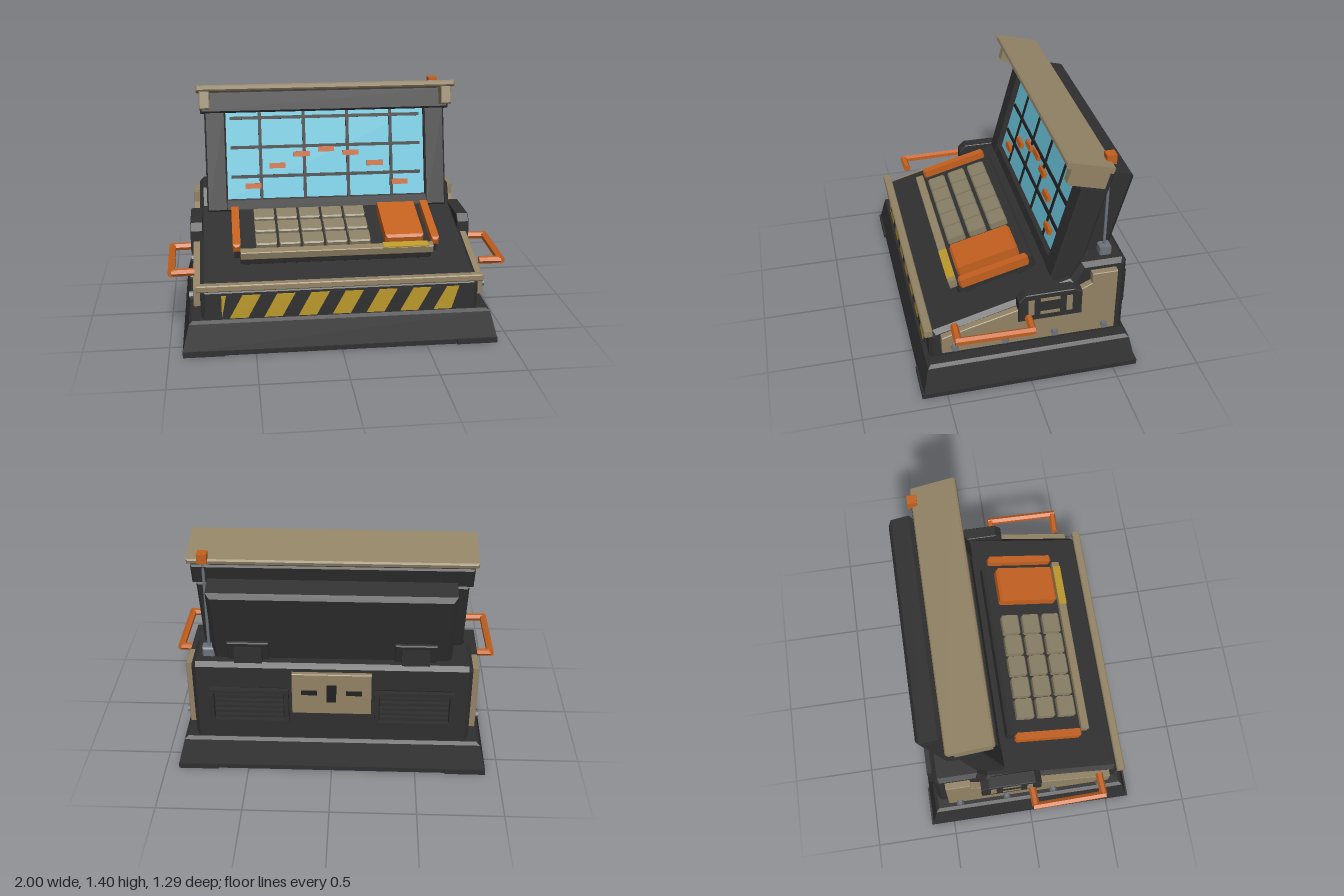
import * as THREE from 'three';

const mat = (name, color, extra = {}) => {
  const m = new THREE.MeshStandardMaterial({ color, ...extra });
  m.name = name;
  return m;
};

export function createModel() {
  const dark = mat('charcoal', 0x303030);
  const black = mat('black', 0x212121);
  const tan = mat('tan', 0x928365);
  const keyTan = mat('key tan', 0x897f66);
  const orange = mat('orange', 0xc4601f);
  const cyan = mat('screen cyan', 0x6cc6dc);
  const yellow = mat('hazard yellow', 0xbc992b);
  const steel = mat('steel', 0x6d747c);

  const root = new THREE.Group();
  root.name = 'controlConsole';

  const add = (parent, name, geo, material, x = 0, y = 0, z = 0) => {
    const m = new THREE.Mesh(geo, material);
    m.name = name;
    m.position.set(x, y, z);
    parent.add(m);
    return m;
  };
  const group = (name, y, z, tilt) => {
    const g = new THREE.Group();
    g.name = name;
    g.position.set(0, y, z);
    g.rotation.x = tilt;
    root.add(g);
    return g;
  };
  const extrude = (pts, depth, bevel) => {
    const shape = new THREE.Shape(pts.map(([a, b]) => new THREE.Vector2(a, b)));
    const geo = new THREE.ExtrudeGeometry(shape, {
      depth: depth - 2 * bevel, bevelEnabled: bevel > 0, bevelSegments: 1,
      bevelSize: bevel, bevelThickness: bevel, bevelOffset: -bevel,
    });
    return geo.translate(0, 0, bevel - depth / 2);
  };
  // Box given by its limits, with optional chamfered edges
  const box = (parent, name, material, [x0, x1], [y0, y1], [z0, z1], bevel = 0) => {
    const w = x1 - x0, h = y1 - y0, d = z1 - z0;
    const geo = bevel
      ? extrude([[-w / 2, -h / 2], [w / 2, -h / 2], [w / 2, h / 2], [-w / 2, h / 2]], d, bevel)
      : new THREE.BoxGeometry(w, h, d);
    return add(parent, name, geo, material, (x0 + x1) / 2, (y0 + y1) / 2, (z0 + z1) / 2);
  };
  // Side profile in (z, y), swept along x
  const profile = (name, pts, width, bevel, material, x = 0) =>
    add(root, name, extrude(pts, width, bevel).rotateY(-Math.PI / 2), material, x);
  const span = (c, size) => [c - size / 2, c + size / 2];
  const mirrored = (s, a, b) => (s > 0 ? [a, b] : [-b, -a]);

  // Plinth: a box whose rings taper upward
  const levels = [[0, 0.92, 0.635], [0.03, 0.92, 0.635], [0.185, 0.88, 0.6], [0.2, 0.86, 0.58]];
  const plinth = new THREE.BoxGeometry(2, 3, 2, 1, 3, 1).toNonIndexed();
  const p = plinth.attributes.position;
  for (let i = 0; i < p.count; i++) {
    const [y, hx, hz] = levels[Math.round(p.getY(i) + 1.5)];
    p.setXYZ(i, p.getX(i) * hx, y, p.getZ(i) * hz);
  }
  plinth.computeVertexNormals();
  add(root, 'plinth', plinth, dark);
  for (const s of [-1, 1]) for (const t of [-1, 1])
    box(root, 'foot', dark, mirrored(s, 0.68, 0.92), [0, 0.032], mirrored(t, 0.56, 0.645));

  // Main body with sloping desk and rear block
  profile('body', [[0.575, 0.19], [0.575, 0.36], [0.55, 0.39], [-0.25, 0.615], [-0.31, 0.72],
    [-0.55, 0.72], [-0.575, 0.695], [-0.575, 0.19]], 1.62, 0.025, dark);
  box(root, 'frontRail', tan, [-0.83, 0.83], [0.38, 0.42], [0.555, 0.605], 0.006);

  // Hazard plate with slanted stripes
  box(root, 'hazardPlate', dark, [-0.69, 0.69], [0.21, 0.35], [0.57, 0.586]);
  const clampX = (x) => Math.max(-0.69, Math.min(0.69, x));
  for (let i = -1; i < 7; i++) {
    const x = -0.645 + 0.198 * i;
    const pts = [[clampX(x), 0.21], [clampX(x + 0.105), 0.21], [clampX(x + 0.18), 0.35], [clampX(x + 0.075), 0.35]];
    if (i < 0) pts.shift();
    add(root, 'hazardStripe', extrude(pts, 0.006, 0), yellow, 0, 0, 0.587);
  }

  // Side armour, control pods, bolts and grab handles
  for (const s of [-1, 1]) {
    profile('sidePlate', [[0.51, 0.26], [0.51, 0.37], [0.35, 0.42], [0.07, 0.495], [-0.3, 0.58], [-0.36, 0.61],
      [-0.36, 0.675], [-0.51, 0.675], [-0.51, 0.26]], 0.05, 0.004, tan, s * 0.825);
    profile('sidePod', [[0.07, 0.42], [0.07, 0.56], [0.03, 0.602], [-0.25, 0.602], [-0.3, 0.58], [-0.3, 0.42]],
      0.075, 0.004, dark, s * 0.829);
    const slot = (y, z) => box(root, 'podSlot', tan, mirrored(s, 0.862, 0.87), y, z);
    slot([0.46, 0.565], [-0.02, 0.015]);
    slot([0.46, 0.565], [-0.243, -0.208]);
    slot([0.55, 0.57], [-0.17, -0.055]);
    slot([0.458, 0.478], [-0.17, -0.055]);
    for (const z of [0.44, 0.148, -0.145, -0.44])
      add(root, 'bolt', new THREE.CylinderGeometry(0.021, 0.021, 0.04, 6).rotateZ(Math.PI / 2).toNonIndexed(),
        steel, s * 0.855, 0.303, z).geometry.computeVertexNormals();
    // Handle: three hexagonal bars
    const pts = [[0.84, 0.435], [0.972, 0.44], [0.98, 0.018], [0.84, 0.012]]
      .map(([x, z]) => new THREE.Vector3(s * x, 0.445, z));
    for (let i = 0; i < 3; i++) {
      const dir = pts[i + 1].clone().sub(pts[i]);
      const geo = new THREE.CylinderGeometry(0.023, 0.023, dir.length() + (i === 1 ? 0.03 : 0), 6).toNonIndexed();
      geo.computeVertexNormals();
      const bar = add(root, 'grabHandle', geo, orange);
      bar.position.copy(pts[i]).addScaledVector(dir, 0.5);
      bar.quaternion.setFromUnitVectors(new THREE.Vector3(0, 1, 0), dir.normalize());
    }
  }

  // Keypad tray lying on the desk
  const pad = group('keypad', 0.56, 0.145, 0.26);
  box(pad, 'tray', dark, [-0.57, 0.57], [-0.07, 0.02], [-0.25, 0.235], 0.015);
  box(pad, 'trayLip', tan, [-0.57, 0.57], [0, 0.05], [0.218, 0.268], 0.004);
  box(pad, 'lipMarker', yellow, [0.27, 0.54], [0.048, 0.055], [0.218, 0.268]);
  for (let c = 0; c < 5; c++) for (let r = 0; r < 3; r++)
    box(pad, 'key', keyTan, span(-0.415 + c * 0.139, 0.124), [0.01, 0.06], span(-0.13 + r * 0.135, 0.112), 0.008);
  box(pad, 'bigButton', orange, [0.29, 0.52], [0.01, 0.085], [-0.18, 0.2], 0.014);
  for (const s of [-1, 1]) {
    box(pad, 'trayGrip', orange, mirrored(s, 0.568, 0.614), [0.01, 0.065], [-0.215, 0.21], 0.012);
    for (const z of [-0.16, 0.16])
      box(pad, 'gripFoot', dark, mirrored(s, 0.54, 0.605), [-0.04, 0.02], span(z, 0.06));
  }

  // Leaning display
  const disp = group('display', 0.675, -0.163, -0.26);
  box(disp, 'displayCore', dark, [-0.7, 0.7], [-0.07, 0.56], [-0.165, -0.035]);
  box(disp, 'displaySill', dark, [-0.75, 0.75], [-0.07, 0.005], [-0.15, 0], 0.008);
  box(disp, 'displayHeader', dark, [-0.785, 0.785], [0.55, 0.685], [-0.14, 0.03], 0.01);
  box(disp, 'rearHousing', dark, [-0.69, 0.69], [-0.03, 0.627], [-0.317, -0.155], 0.025);
  box(disp, 'screen', cyan, [-0.63, 0.63], [0, 0.555], [-0.036, -0.028]);
  for (const x of [-0.417, -0.139, 0.139, 0.417])
    box(disp, 'gridLine', black, span(x, 0.02), [0.005, 0.55], [-0.03, -0.02]);
  for (const y of [0.145, 0.33, 0.515])
    box(disp, 'gridLine', black, [-0.605, 0.605], span(y, 0.02), [-0.03, -0.019]);
  [0.085, 0.21, 0.28, 0.307, 0.28, 0.21, 0.085].forEach((y, i) =>
    box(disp, 'marker', orange, span((i - 3) * 0.156, 0.102), span(y, 0.033), [-0.03, -0.006]));
  box(disp, 'visor', tan, [-0.807, 0.807], [0.68, 0.717], [-0.128, 0.152], 0.009);
  for (const s of [-1, 1]) {
    box(disp, 'displayPost', dark, mirrored(s, 0.63, 0.762), [-0.07, 0.56], [-0.15, 0.005], 0.01);
    box(disp, 'visorBracket', tan, mirrored(s, 0.725, 0.79), [0.572, 0.685], [-0.115, 0.112], 0.006);
    // Rear hinge plates
    box(disp, 'hingePlate', dark, span(s * 0.48, 0.24), [0.08, 0.27], [-0.335, -0.3], 0.006);
    box(root, 'hingeFoot', dark, span(s * 0.48, 0.16), [0.7, 0.82], [-0.555, -0.5]);
  }

  // Beacon mast
  box(root, 'mastBase', steel, [0.68, 0.75], [0.71, 0.775], [-0.5, -0.43], 0.008);
  add(root, 'mast', new THREE.CylinderGeometry(0.009, 0.009, 0.6, 8), steel, 0.715, 1.04, -0.463);
  box(root, 'beacon', orange, [0.687, 0.743], [1.32, 1.377], [-0.491, -0.434]);

  // Rear vents and service plate
  for (const s of [-1, 1]) {
    const x = mirrored(s, 0.25, 0.71);
    box(root, 'ventBack', black, x, [0.325, 0.56], [-0.585, -0.57]);
    for (const y of [[0.325, 0.35], [0.535, 0.56]]) box(root, 'ventFrame', dark, x, y, [-0.612, -0.57]);
    for (const c of [x[0] + 0.0125, x[1] - 0.0125])
      box(root, 'ventFrame', dark, span(c, 0.025), [0.325, 0.56], [-0.612, -0.57]);
    for (let i = 0; i < 5; i++)
      box(root, 'ventSlat', dark, [x[0] + 0.03, x[1] - 0.03], span(0.373 + i * 0.035, 0.02), [-0.605, -0.58]);
  }
  box(root, 'servicePlate', tan, [-0.23, 0.23], [0.4, 0.675], [-0.602, -0.57], 0.004);
  box(root, 'serviceSlot', black, span(0, 0.055), span(0.545, 0.115), [-0.608, -0.6]);
  for (const s of [-1, 1]) box(root, 'serviceSlot', black, span(s * 0.13, 0.09), span(0.55, 0.03), [-0.608, -0.6]);

  return root;
}
